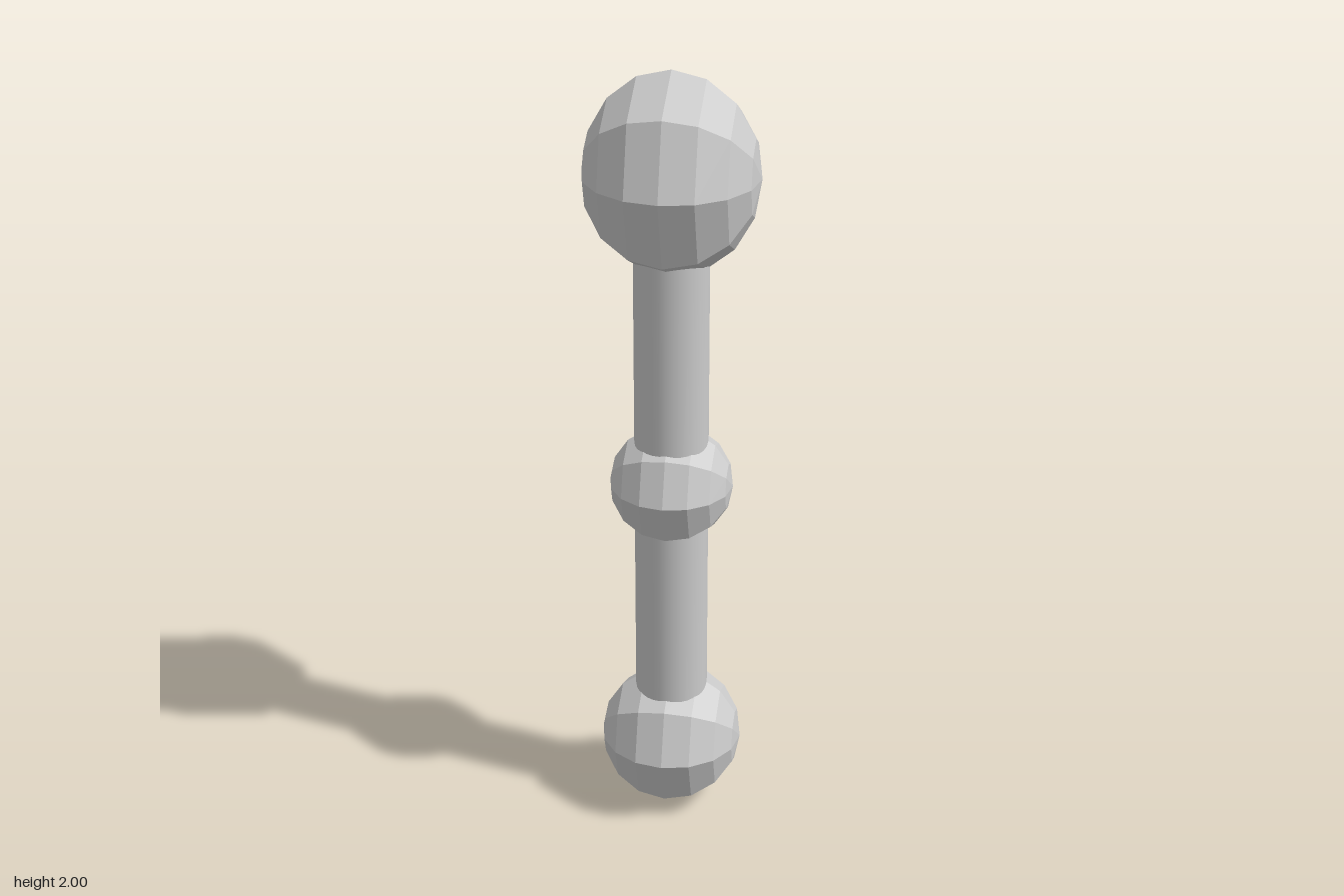
import * as THREE from 'three';

export function createModel() {
  const group = new THREE.Group();
  const faceted = new THREE.MeshStandardMaterial({ color: 0xcccccc, flatShading: true });
  const smooth = new THREE.MeshStandardMaterial({ color: 0xcccccc });

  // Faceted knob: an eight-sided sphere whose poles lie along x
  function addKnob(name, y, radius, halfHeight) {
    const geometry = new THREE.SphereGeometry(radius, 8, 8);
    geometry.rotateZ(Math.PI / 2);
    geometry.scale(1, halfHeight / radius, 1);
    const knob = new THREE.Mesh(geometry, faceted);
    knob.name = name;
    knob.position.y = y;
    group.add(knob);
  }

  // Smooth round shaft between two heights
  function addShaft(name, bottom, top) {
    const shaft = new THREE.Mesh(new THREE.CylinderGeometry(0.093, 0.093, top - bottom, 32), smooth);
    shaft.name = name;
    shaft.position.y = (bottom + top) / 2;
    group.add(shaft);
  }

  addKnob('bottomKnob', 0.188, 0.183, 0.188);
  addKnob('middleKnob', 0.93, 0.156, 0.156);
  addKnob('topKnob', 1.745, 0.216, 0.255);

  addShaft('lowerShaft', 0.19, 0.93);
  addShaft('upperShaft', 0.93, 1.7);

  return group;
}
